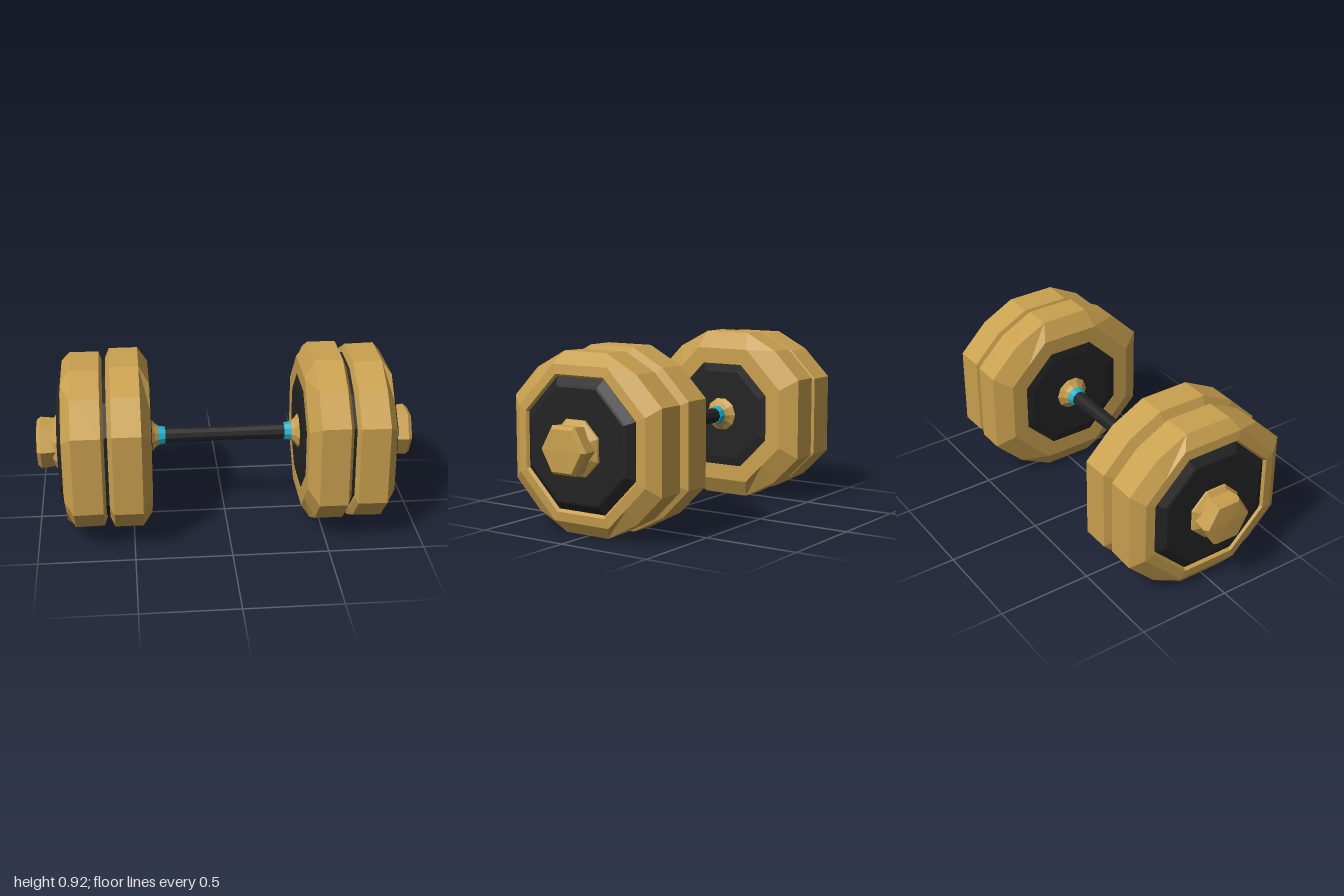
import * as THREE from 'three';

const mat = (name, color) => {
  const m = new THREE.MeshStandardMaterial({ color, flatShading: true });
  m.name = name;
  return m;
};

// Unit outlines as [z, y], counter-clockwise seen from +x, starting at the top
const regular = (n, offset = 0.5) => Array.from({ length: n }, (_, i) => {
  const a = ((i + offset) / n) * Math.PI * 2;
  return [Math.sin(a), Math.cos(a)];
});
const fromQuadrant = (q) => {
  const back = [...q].reverse();
  return [
    ...q,
    ...back.map(([z, y]) => [z, -y]),
    ...q.map(([z, y]) => [-z, -y]),
    ...back.map(([z, y]) => [-z, y]),
  ];
};
const RIM = fromQuadrant([[0.285, 1], [0.67, 0.8], [1, 0.47]]);
const OCT = fromQuadrant([[0.43, 1], [0.715, 0.715], [1, 0.43]]);
const HEX = regular(6);
const ROUND = regular(10);
const EIGHT = regular(8);

// Skin a row of rings [x, size, outline] running along +x
function loft(rings) {
  const pos = [];
  const pt = ([x, s, o], j) => {
    const [z, y] = o[j % o.length];
    return [x, y * s, z * s];
  };
  for (let i = 0; i < rings.length - 1; i++) {
    const p = rings[i], q = rings[i + 1];
    for (let j = 0; j < p[2].length; j++) {
      const a = pt(p, j), b = pt(p, j + 1), c = pt(q, j + 1), d = pt(q, j);
      if (p[1] > 0) pos.push(...a, ...b, ...c);
      if (q[1] > 0) pos.push(...a, ...c, ...d);
      else if (p[1] === 0) continue;
    }
  }
  const g = new THREE.BufferGeometry();
  g.setAttribute('position', new THREE.Float32BufferAttribute(pos, 3));
  g.computeVertexNormals();
  return g;
}

export function createModel() {
  const gold = mat('gold', 0xc9a04f);
  const black = mat('black', 0x232323);
  const teal = mat('teal', 0x22b0ca);
  const model = new THREE.Group();
  const CY = 0.462;

  const add = (parent, name, material, rings, y = 0) => {
    const m = new THREE.Mesh(loft(rings), material);
    m.name = name;
    m.position.y = y;
    parent.add(m);
  };

  // Grip, slightly slimmer in the middle
  add(model, 'grip', black, [
    [-0.33, 0, ROUND], [-0.33, 0.042, ROUND], [0, 0.037, ROUND], [0.33, 0.042, ROUND], [0.33, 0, ROUND],
  ], CY + 0.003);

  // One weight stack, turned round for the other end
  for (const side of [1, -1]) {
    const end = new THREE.Group();
    end.name = side > 0 ? 'leftWeights' : 'rightWeights';
    end.position.y = CY;
    if (side < 0) end.rotation.y = Math.PI;
    model.add(end);

    add(end, 'gripRing', teal, [
      [0.318, 0, ROUND], [0.318, 0.046, ROUND], [0.36, 0.053, ROUND], [0.36, 0, ROUND],
    ], 0.003);
    add(end, 'innerCollar', gold, [
      [0.355, 0, ROUND], [0.355, 0.052, ROUND], [0.375, 0.068, ROUND], [0.4, 0.1, ROUND], [0.4, 0, ROUND],
    ], 0.003);
    add(end, 'innerDisc', black, [
      [0.394, 0, OCT], [0.394, 0.24, OCT], [0.402, 0.285, OCT], [0.43, 0.285, OCT], [0.43, 0, OCT],
    ]);
    add(end, 'innerPlate', gold, [
      [0.42, 0.28, OCT], [0.4, 0.285, OCT], [0.4, 0.37, OCT], [0.452, 0.46, RIM],
      [0.6, 0.46, RIM], [0.623, 0.41, RIM], [0.623, 0, RIM],
    ]);
    add(end, 'spacer', black, [
      [0.615, 0, RIM], [0.615, 0.4, RIM], [0.65, 0.4, RIM], [0.65, 0, RIM],
    ]);
    add(end, 'outerPlate', gold, [
      [0.64, 0, RIM], [0.64, 0.41, RIM], [0.655, 0.448, RIM], [0.805, 0.451, RIM],
      [0.852, 0.388, OCT], [0.858, 0.34, OCT], [0.835, 0.322, OCT],
    ], -0.005);
    add(end, 'outerDisc', black, [
      [0.82, 0.328, OCT], [0.845, 0.328, OCT], [0.876, 0.29, OCT], [0.88, 0.28, OCT], [0.88, 0, OCT],
    ], -0.003);
    add(end, 'nutFlange', gold, [
      [0.865, 0.13, EIGHT], [0.878, 0.15, EIGHT], [0.89, 0.148, EIGHT], [0.912, 0.118, EIGHT], [0.912, 0, EIGHT],
    ], -0.012);
    add(end, 'nut', gold, [
      [0.895, 0, HEX], [0.895, 0.128, HEX], [0.975, 0.137, HEX], [0.995, 0.12, HEX], [1, 0, HEX],
    ], -0.012);
  }
  return model;
}
